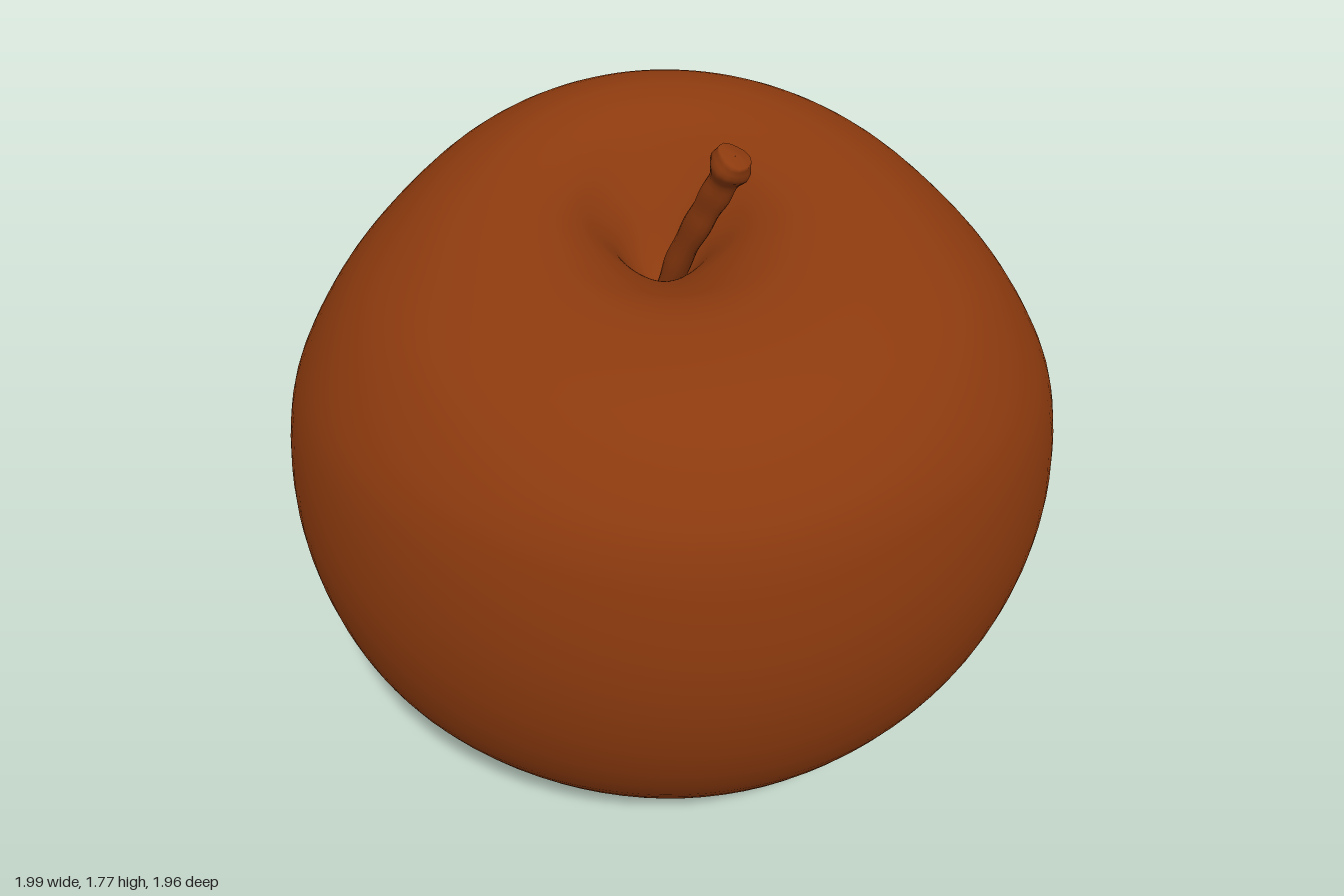
import * as THREE from 'three';

const skin = new THREE.MeshStandardMaterial({ color: 0x8c3a0e });
skin.name = 'russet brown';

// Skins a grid of rings; point(t, a) gives the surface at height t and angle a.
function loft(rows, sides, point) {
  const pos = [], index = [];
  for (let j = 0; j <= rows; j++) {
    for (let i = 0; i < sides; i++) {
      pos.push(...point(j / rows, (i / sides) * Math.PI * 2).toArray());
    }
  }
  for (let j = 0; j < rows; j++) {
    for (let i = 0; i < sides; i++) {
      const n = (i + 1) % sides;
      const a = j * sides + i, b = j * sides + n, c = a + sides, d = b + sides;
      index.push(a, c, b, b, c, d);
    }
  }
  const geo = new THREE.BufferGeometry();
  geo.setAttribute('position', new THREE.Float32BufferAttribute(pos, 3));
  geo.setIndex(index);
  geo.computeVertexNormals();
  return geo;
}

function part(name, geo) {
  const mesh = new THREE.Mesh(geo, skin);
  mesh.name = name;
  return mesh;
}

// Fruit rings from the lower hollow to the stem hollow:
// radius, height, centre z, backward tilt, dip in the front lip
const RINGS = [
  [0.001, 0.13, -0.04, 0, 0],
  [0.10, 0.115, -0.04, 0, 0],
  [0.20, 0.065, -0.05, 0, 0],
  [0.30, 0.02, -0.05, 0, 0],
  [0.40, 0.012, -0.05, 0, 0],
  [0.49, 0.04, -0.03, 0, 0],
  [0.61, 0.105, -0.01, 0, 0],
  [0.74, 0.215, 0, 0, 0],
  [0.88, 0.40, 0, 0, 0],
  [0.96, 0.60, 0, 0, 0],
  [0.993, 0.82, 0, 0, 0],
  [0.97, 1.05, 0.01, 0, 0],
  [0.90, 1.22, 0.03, 0, 0],
  [0.78, 1.39, 0.02, 0.01, 0],
  [0.62, 1.525, 0, 0.06, 0.005],
  [0.47, 1.59, 0, 0.09, 0.02],
  [0.34, 1.60, 0.02, 0.10, 0.04],
  [0.23, 1.56, 0.04, 0.09, 0.04],
  [0.14, 1.47, 0.06, 0.05, 0.02],
  [0.07, 1.37, 0.08, 0.01, 0],
  [0.001, 1.30, 0.09, 0, 0],
];

function fruitGeometry() {
  const curve = (f) => new THREE.CatmullRomCurve3(RINGS.map(f), false, 'catmullrom', 0.5);
  const outline = curve(([r, y, z]) => new THREE.Vector3(r, y, z));
  const lean = curve(([, , , tilt, dip]) => new THREE.Vector3(tilt, dip, 0));
  return loft(88, 96, (t, a) => {
    const o = outline.getPoint(t), l = lean.getPoint(t);
    const front = Math.sin(a);
    // gentle unevenness around the fruit
    const lump = 1 + 0.006 * Math.sin(3 * a + 0.6 + t * 2) + 0.004 * Math.sin(5 * a + 2 - t * 3);
    const r = Math.max(o.x, 0.001) * lump;
    const dip = l.y * Math.exp(-Math.pow((a - Math.PI / 2) / 0.6, 2));
    const cx = t > 0.75 ? -0.03 * (t - 0.75) * 4 : 0;
    return new THREE.Vector3(cx + Math.cos(a) * r, o.y - l.x * front - dip, o.z + front * r * 0.988);
  });
}

function stemGeometry() {
  const path = new THREE.CatmullRomCurve3([
    new THREE.Vector3(-0.03, 1.27, 0.10),
    new THREE.Vector3(0.01, 1.42, 0.155),
    new THREE.Vector3(0.065, 1.58, 0.23),
    new THREE.Vector3(0.105, 1.69, 0.275),
    new THREE.Vector3(0.13, 1.76, 0.305),
  ]);
  const rows = 30;
  return loft(rows, 14, (t, a) => {
    const k = Math.min(t * rows / (rows - 1), 1); // last row closes the cut end
    const knob = 0.011 * Math.exp(-Math.pow((k - 0.9) / 0.09, 2));
    const bark = 1 + 0.07 * Math.sin(3 * a + k * 9) + 0.05 * Math.sin(k * 31);
    const r = t === 1 ? 0.0005 : (0.027 + 0.006 * k + knob) * bark;
    return path.getPoint(k).add(new THREE.Vector3(Math.cos(a) * r, -Math.cos(a) * r * 0.4 - Math.sin(a) * r * 0.35, Math.sin(a) * r));
  });
}

export function createModel() {
  const model = new THREE.Group();
  model.name = 'apple';
  model.add(part('fruit', fruitGeometry()), part('stem', stemGeometry()));

  // dried flower remains in the lower hollow
  const calyx = new THREE.Group();
  calyx.name = 'calyx';
  calyx.position.set(0, 0.11, -0.04);
  for (let i = 0; i < 6; i++) {
    const spoke = new THREE.Group();
    spoke.rotation.y = (i / 6) * Math.PI * 2 + 0.25 * Math.sin(i * 4);
    const sepal = part('sepal', new THREE.ConeGeometry(0.032, 0.13, 8));
    sepal.scale.z = 0.45;
    sepal.position.set(0, -0.03, 0.075);
    sepal.rotation.x = Math.PI - 1.05 - 0.2 * Math.sin(i * 2.3);
    spoke.add(sepal);
    calyx.add(spoke);
  }
  const core = part('calyxCore', new THREE.SphereGeometry(0.05, 14, 10));
  core.scale.y = 0.6;
  calyx.add(core);
  model.add(calyx);
  return model;
}
